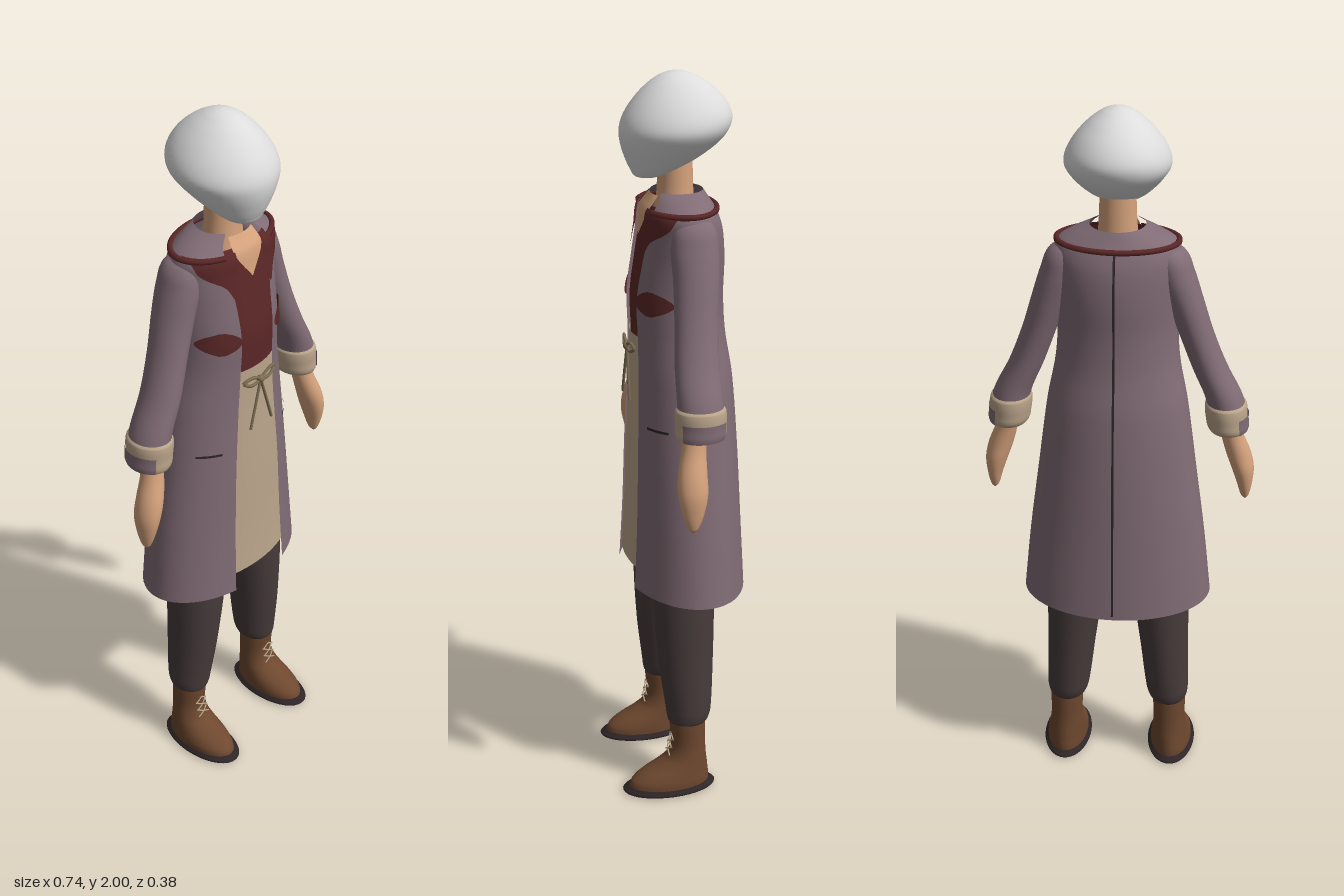
import * as THREE from 'three';
import { mergeVertices } from 'three/addons/utils/BufferGeometryUtils.js';

const mat = (name, color, side = THREE.FrontSide) => {
  const m = new THREE.MeshStandardMaterial({ color, side });
  m.name = name;
  return m;
};

// Smooth interpolation of rows sorted by their first value (height)
function at(rows, y) {
  const n = rows.length;
  let i = 0;
  while (i < n - 2 && y > rows[i + 1][0]) i++;
  const a = rows[i], b = rows[i + 1], h = b[0] - a[0];
  const t = THREE.MathUtils.clamp((y - a[0]) / h, 0, 1);
  const p = rows[Math.max(i - 1, 0)], q = rows[Math.min(i + 2, n - 1)];
  const t2 = t * t, t3 = t2 * t;
  return a.map((v, k) => {
    const ma = (b[k] - p[k]) / (b[0] - p[0]) * h, mb = (q[k] - v) / (q[0] - a[0]) * h;
    return (2 * t3 - 3 * t2 + 1) * v + (t3 - 2 * t2 + t) * ma + (3 * t2 - 2 * t3) * b[k] + (t3 - t2) * mb;
  });
}

// Smooth surface from a function of u and v, outward when u runs left to right and v up
function grid(nu, nv, f) {
  const pos = [], idx = [];
  for (let j = 0; j <= nv; j++) for (let i = 0; i <= nu; i++) pos.push(...f(i / nu, j / nv));
  for (let j = 0; j < nv; j++) for (let i = 0; i < nu; i++) {
    const a = j * (nu + 1) + i, c = a + nu + 1;
    idx.push(a, a + 1, c + 1, a, c + 1, c);
  }
  let g = new THREE.BufferGeometry();
  g.setAttribute('position', new THREE.Float32BufferAttribute(pos, 3));
  g.setIndex(idx);
  g = mergeVertices(g, 1e-5);
  g.computeVertexNormals();
  return g;
}

// Height of a sample, with the same number of samples in each interval
function heightAt(rows, v) {
  const s = v * (rows.length - 1), i = Math.min(Math.floor(s), rows.length - 2);
  return THREE.MathUtils.lerp(rows[i][0], rows[i + 1][0], s - i);
}

// Closed loft through ellipses: [y, rx, rz, cx, cz]
const loft = (rows, side = 1, n = 36) => grid(n, (rows.length - 1) * 5, (u, v) => {
  const [y, rx, rz, cx, cz] = at(rows, heightAt(rows, v));
  const a = u * Math.PI * 2;
  return [side * cx + rx * Math.sin(a), y, cz + rz * Math.cos(a)];
});

// Coat sections: [y, rx, rz, cz, half width of the front opening]
const coatRows = [
  [0.615, 0.262, 0.168, -0.012, 0.1], [0.8, 0.242, 0.158, -0.012, 0.093],
  [1.0, 0.215, 0.15, -0.01, 0.085], [1.2, 0.188, 0.138, -0.007, 0.07],
  [1.32, 0.165, 0.128, 0.002, 0.062], [1.42, 0.158, 0.126, 0.006, 0.06],
  [1.52, 0.16, 0.12, -0.002, 0.065], [1.6, 0.164, 0.11, -0.005, 0.075],
  [1.65, 0.158, 0.098, 0, 0.08], [1.675, 0.122, 0.082, 0, 0.07], [1.697, 0.072, 0.068, 0, 0.045],
];
function coatPoint(a, y, off = 0) {
  const [, rx, rz, cz] = at(coatRows, y);
  return [(rx + off) * Math.sin(a), y, cz + (rz + off) * Math.cos(a)];
}
const openAngle = y => { const r = at(coatRows, y); return Math.asin(r[4] / r[1]); };

// Front panel following the coat: rows of [y, x0, x1]
const panel = (rows, off, side = 1) => grid(14, (rows.length - 1) * 5, (u, v) => {
  const [y, x0, x1] = at(rows, heightAt(rows, v));
  const x = side > 0 ? THREE.MathUtils.lerp(x0, x1, u) : -THREE.MathUtils.lerp(x1, x0, u);
  const a = Math.asin(THREE.MathUtils.clamp(x / at(coatRows, y)[1], -1, 1));
  return coatPoint(a, y, off);
});

const tube = (pts, r, n = 24, closed = false) => new THREE.TubeGeometry(
  new THREE.CatmullRomCurve3(pts.map(p => new THREE.Vector3(...p)), closed), n, r, 6, closed);

export function createModel() {
  const D = THREE.DoubleSide;
  const coat = mat('mauve coat', 0x816c75, D), red = mat('dark red', 0x5c2727, D);
  const hair = mat('white hair', 0xdcdcdc), skin = mat('skin', 0xd5a27c, D);
  const linen = mat('linen', 0xbaa48a, D), trousers = mat('dark trousers', 0x473b3b);
  const leather = mat('brown leather', 0x6e482f), dark = mat('dark trim', 0x2e2526, D);
  const cord = mat('olive cord', 0x7d6d52);

  const model = new THREE.Group();
  const add = (name, geo, m) => {
    const mesh = new THREE.Mesh(geo, m);
    mesh.name = name;
    model.add(mesh);
    return mesh;
  };

  // Head covered by hair, and neck
  add('hair', loft([
    [1.73, 0.002, 0.002, 0, 0.085], [1.735, 0.035, 0.03, 0, 0.08], [1.75, 0.06, 0.055, 0, 0.066],
    [1.78, 0.087, 0.093, 0, 0.042], [1.82, 0.117, 0.127, 0, 0.02], [1.855, 0.135, 0.142, 0, 0.007],
    [1.89, 0.129, 0.14, 0, -0.002], [1.93, 0.105, 0.117, 0, -0.005], [1.965, 0.072, 0.082, 0, -0.003],
    [1.988, 0.04, 0.046, 0, 0], [1.997, 0.018, 0.02, 0, 0], [2, 0.001, 0.001, 0, 0]], 1, 44), hair);
  add('neck', loft([[1.6, 0.06, 0.055, 0, 0.01], [1.69, 0.05, 0.048, 0, 0.005], [1.79, 0.046, 0.045, 0, 0.005]]), skin);

  // Coat with open front and a hem that dips at the back
  add('coat', grid(64, (coatRows.length - 1) * 5, (u, v) => {
    const y = heightAt(coatRows, v), o = openAngle(y), a = o + u * (2 * Math.PI - 2 * o);
    const p = coatPoint(a, y);
    p[1] -= 0.009 * (1 - Math.cos(a)) * Math.max(0, 1 - v * 5);
    return p;
  }), coat);
  const piping = [];
  for (let i = 0; i <= 40; i++) {
    const o = openAngle(1.655);
    piping.push(coatPoint(o + i / 40 * 2 * (Math.PI - o), 1.655, 0.003));
  }
  add('collarPiping', tube(piping, 0.008, 80), red);
  add('backSeam', grid(1, 40, (u, v) => {
    const y = 0.61 + v * 1.04, p = coatPoint(Math.PI, y, 0.003);
    return [0.003 - 0.006 * u, y, p[2]];
  }), dark);

  // Clothing seen through the coat opening
  add('vest', panel([[1.29, -0.12, 0.12], [1.45, -0.12, 0.12], [1.6, -0.12, 0.12], [1.665, -0.1, 0.1]], -0.009), red);
  add('neckline', panel([[1.58, -0.001, 0.001], [1.65, -0.05, 0.05], [1.69, -0.045, 0.045]], -0.003), skin);
  add('apron', panel([[0.67, -0.13, 0.13], [1.0, -0.12, 0.12], [1.32, -0.09, 0.09]], -0.005), linen);

  // Apron bow: two loops, a knot and two tails
  const bowZ = 0.136;
  for (const s of [1, -1]) {
    add('bowLoop', tube([[0, 1.28, bowZ], [s * 0.035, 1.298, bowZ], [s * 0.06, 1.29, bowZ - 0.006],
      [s * 0.035, 1.275, bowZ]], 0.0045, 24, true), cord);
    add('bowTail', tube([[0, 1.28, bowZ], [s * 0.018, 1.22, bowZ + 0.002], [s * 0.042, 1.14, bowZ + 0.004]], 0.004), cord);
  }
  add('bowKnot', new THREE.SphereGeometry(0.011, 12, 8), cord).position.set(0, 1.28, bowZ);

  for (const s of [1, -1]) {
    const side = s > 0 ? 'left' : 'right';

    // Red yoke, chest patch and pocket slit on the coat front
    add(side + 'Yoke', panel([[1.54, 0.058, 0.068], [1.58, 0.055, 0.09], [1.605, 0.055, 0.125],
      [1.625, 0.055, 0.143], [1.662, 0.05, 0.15]], 0.005, s), red);
    add(side + 'ChestPatch', panel([[1.39, 0.1, 0.115], [1.405, 0.07, 0.14], [1.425, 0.06, 0.151],
      [1.445, 0.08, 0.138], [1.455, 0.1, 0.115]], 0.005, s), red);
    add(side + 'Pocket', panel([[1.084, 0.12, 0.175], [1.091, 0.12, 0.175]], 0.004, s), dark);

    // Sleeve, turned cuff and hand
    add(side + 'Sleeve', loft([
      [1.13, 0.052, 0.062, 0.292, 0.01], [1.2, 0.051, 0.06, 0.287, 0.01], [1.3, 0.047, 0.058, 0.243, 0.008],
      [1.4, 0.046, 0.057, 0.206, 0], [1.5, 0.049, 0.06, 0.173, -0.008], [1.58, 0.05, 0.062, 0.147, -0.01],
      [1.63, 0.041, 0.05, 0.134, -0.012], [1.657, 0.008, 0.014, 0.12, -0.012]], s), coat);
    const cuffRows = [[1.112, 0.03, 0.036, 0.3, 0.015], [1.116, 0.05, 0.06, 0.297, 0.012],
      [1.15, 0.056, 0.066, 0.292, 0.01], [1.19, 0.056, 0.066, 0.289, 0.01], [1.2, 0.048, 0.058, 0.287, 0.01]];
    add(side + 'Cuff', loft(cuffRows, s), linen);
    add(side + 'CuffFacing', grid(16, 6, (u, v) => {
      const a = s * Math.PI / 2 + (u - 0.5) * 1.9;
      const [y, rx, rz, cx, cz] = at(cuffRows, 1.118 + v * 0.047);
      return [s * cx + (rx + 0.003) * Math.sin(a), y, cz + (rz + 0.003) * Math.cos(a)];
    }), coat);
    add(side + 'Hand', loft([
      [0.878, 0.002, 0.003, 0.35, 0.045], [0.89, 0.011, 0.014, 0.349, 0.044], [0.93, 0.021, 0.029, 0.347, 0.043],
      [0.98, 0.031, 0.039, 0.34, 0.042], [1.03, 0.034, 0.038, 0.326, 0.04], [1.09, 0.03, 0.032, 0.307, 0.032],
      [1.16, 0.028, 0.03, 0.293, 0.02]], s), skin);

    // Trouser leg
    add(side + 'TrouserLeg', loft([
      [0.2, 0.04, 0.045, 0.151, 0.008], [0.215, 0.053, 0.057, 0.149, 0.005], [0.25, 0.061, 0.064, 0.146, 0.003],
      [0.4, 0.069, 0.077, 0.135, 0.008], [0.6, 0.081, 0.086, 0.12, 0.01], [0.95, 0.09, 0.095, 0.09, 0]], s), trousers);

    // Boot with sole and laces
    add(side + 'Boot', loft([
      [0.016, 0.06, 0.115, 0.157, 0.062], [0.035, 0.06, 0.111, 0.157, 0.058], [0.055, 0.057, 0.097, 0.156, 0.046],
      [0.075, 0.053, 0.077, 0.155, 0.028], [0.1, 0.049, 0.058, 0.154, 0.012], [0.14, 0.046, 0.049, 0.153, 0.005],
      [0.21, 0.048, 0.051, 0.152, 0.007], [0.222, 0.046, 0.049, 0.152, 0.007]], s), leather);
    add(side + 'Sole', loft([
      [0, 0.002, 0.002, 0.157, 0.062], [0.0005, 0.061, 0.116, 0.157, 0.062],
      [0.018, 0.062, 0.118, 0.157, 0.062], [0.02, 0.058, 0.112, 0.157, 0.062]], s), dark);
    for (let i = 0; i < 3; i++) for (const d of [1, -1]) {
      const y = 0.11 + i * 0.025, z = 0.068 - i * 0.005;
      add(side + 'Lace', tube([[s * 0.153 - d * 0.02, y, z - 0.004], [s * 0.153, y + 0.012, z - 0.004],
        [s * 0.153 + d * 0.02, y + 0.024, z - 0.011]], 0.0022, 8), linen);
    }
  }
  return model;
}
